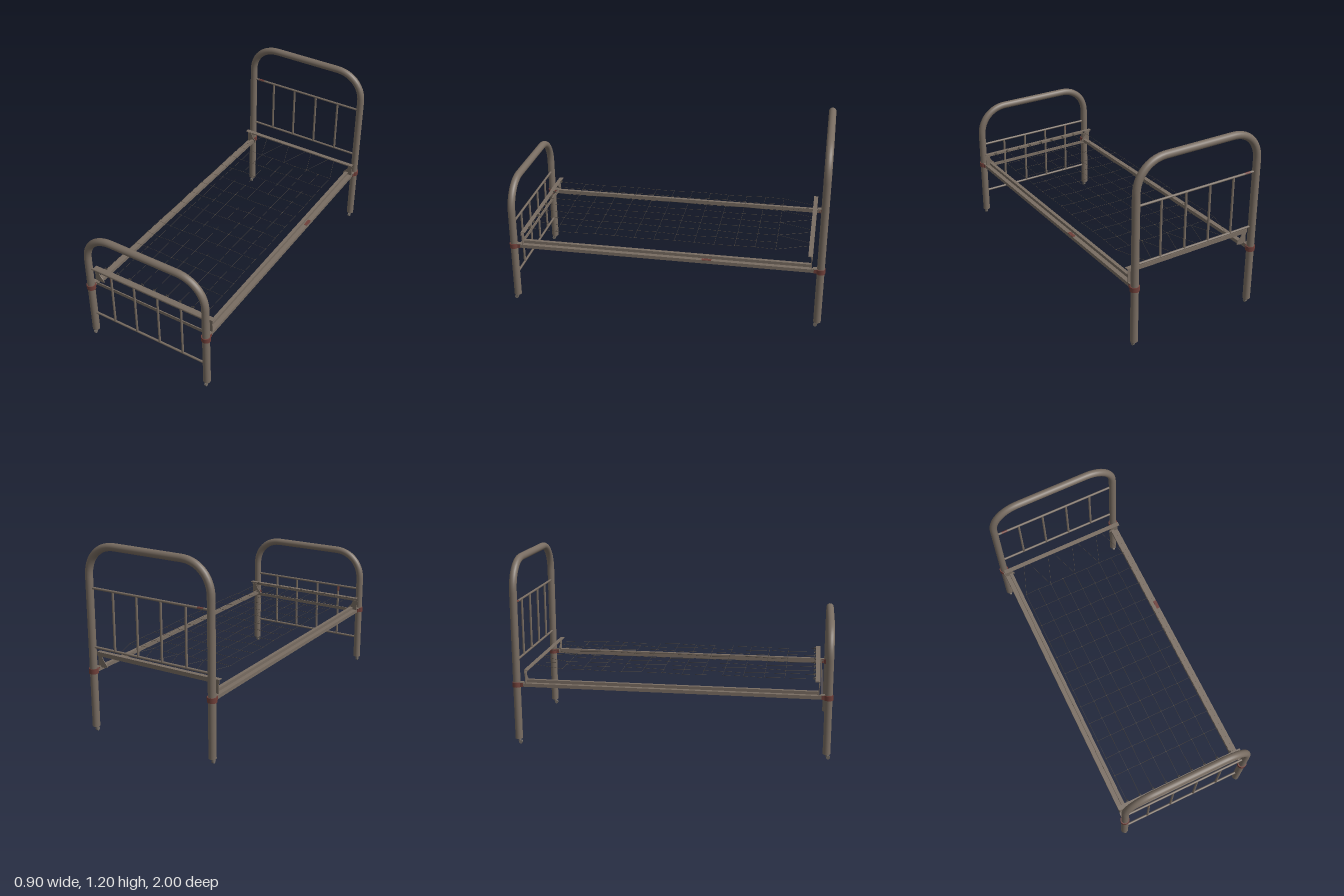
import * as THREE from 'three';
import { mergeGeometries } from 'three/addons/utils/BufferGeometryUtils.js';

const paint = new THREE.MeshStandardMaterial({ color: 0x796d62, side: THREE.DoubleSide });
paint.name = 'taupe paint';
const rust = new THREE.MeshStandardMaterial({ color: 0x6f3f39 });
rust.name = 'rust red';
const steel = new THREE.MeshStandardMaterial({ color: 0x726b64 });
steel.name = 'caster steel';
const wire = new THREE.MeshStandardMaterial({ color: 0x4d463f });
wire.name = 'dark wire';

const POST_X = 0.422, POST_R = 0.0235, END_Z = 0.972;
const V = (x, y, z) => new THREE.Vector3(x, y, z);

// Cylinder geometry between two points
function rodGeometry(a, b, r, sides = 10) {
  const d = b.clone().sub(a);
  const g = new THREE.CylinderGeometry(r, r, d.length(), sides);
  g.applyQuaternion(new THREE.Quaternion().setFromUnitVectors(V(0, 1, 0), d.normalize()));
  const m = a.clone().add(b).multiplyScalar(0.5);
  return g.translate(m.x, m.y, m.z);
}

function add(parent, name, geometry, material) {
  const mesh = new THREE.Mesh(geometry, material);
  mesh.name = name;
  parent.add(mesh);
  return mesh;
}

function box(parent, name, w, h, d, x, y, z, material = paint) {
  return add(parent, name, new THREE.BoxGeometry(w, h, d).translate(x, y, z), material);
}

// Bent tube with two legs and rounded upper corners
function archGeometry(top, corner, z) {
  const y = top - POST_R, k = corner * 0.42, x = POST_X, i = x - corner;
  const path = new THREE.CurvePath();
  path.add(new THREE.LineCurve3(V(-x, 0.037, z), V(-x, y - corner, z)));
  path.add(new THREE.CubicBezierCurve3(V(-x, y - corner, z), V(-x, y - k, z), V(-x + k, y, z), V(-i, y, z)));
  path.add(new THREE.LineCurve3(V(-i, y, z), V(i, y, z)));
  path.add(new THREE.CubicBezierCurve3(V(i, y, z), V(x - k, y, z), V(x, y - k, z), V(x, y - corner, z)));
  path.add(new THREE.LineCurve3(V(x, y - corner, z), V(x, 0.037, z)));
  return new THREE.TubeGeometry(path, 110, POST_R, 18, false);
}

// Head or foot frame: arch, two rails, four spindles, casters and clamps
function endFrame(name, top, corner, z, lowRail, highRail) {
  const g = new THREE.Group();
  g.name = name;
  const inward = -Math.sign(z);
  add(g, 'archTube', archGeometry(top, corner, z), paint);
  for (const y of [lowRail, highRail])
    add(g, 'crossRail', rodGeometry(V(-POST_X, y, z), V(POST_X, y, z), 0.0075), paint);
  for (const x of [-0.255, -0.086, 0.083, 0.252])
    add(g, 'spindle', rodGeometry(V(x, lowRail, z), V(x, highRail, z), 0.0075), paint);
  for (const s of [-1, 1]) {
    const x = s * POST_X;
    add(g, 'postCap', new THREE.CylinderGeometry(POST_R, POST_R, 0.004, 18).translate(x, 0.037, z), paint);
    add(g, 'casterStem', rodGeometry(V(x, 0.018, z + 0.004), V(x, 0.037, z), 0.009), steel);
    add(g, 'casterWheel', new THREE.CylinderGeometry(0.012, 0.012, 0.014, 14)
      .rotateZ(Math.PI / 2).translate(x, 0.012, z + 0.01), steel);
    add(g, 'postClamp', new THREE.CylinderGeometry(0.028, 0.028, 0.031, 18)
      .scale(1.07, 1, 1).translate(x, 0.395, z), rust);
    box(g, 'clampLug', 0.026, 0.026, 0.022, x, 0.394, z + inward * 0.031, rust);
    box(g, 'clampLugCover', 0.028, 0.004, 0.03, x, 0.409, z + inward * 0.034);
  }
  return g;
}

// Curved gusset carrying the end of an angle iron
function gussetGeometry() {
  const s = new THREE.Shape();
  s.moveTo(0.365, 0.403);
  s.bezierCurveTo(0.365, 0.435, 0.398, 0.43, 0.4, 0.475);
  s.lineTo(0.43, 0.475);
  s.lineTo(0.43, 0.403);
  s.closePath();
  return new THREE.ExtrudeGeometry(s, { depth: 0.005, bevelEnabled: false, curveSegments: 8 });
}

// Wire net with end springs
function wireNet() {
  const g = new THREE.Group();
  g.name = 'wireNet';
  const R = 0.001, Y = 0.49, pitchX = 0.0915, pitchZ = 0.1268, z0 = -0.69;
  const sag = (i, j) => 0.003 * Math.sin(i * 2.3 + j * 1.7);
  const node = (i, j) => V((i - 4) * pitchX, Y + sag(i, j), z0 + j * pitchZ);
  const rods = [], hooks = [];
  const link = (a, b) => rods.push(rodGeometry(a, b, R, 4));
  for (let i = 0; i < 9; i++) {
    for (let j = 0; j < 12; j++) {
      if (i < 8) link(node(i, j), node(i + 1, j));
      if (j < 11) link(node(i, j), node(i, j + 1));
      hooks.push(new THREE.TorusGeometry(0.003, 0.001, 4, 8).rotateX(Math.PI / 2)
        .translate(...node(i, j).toArray()));
    }
    // Straight springs at the foot, hooked over the iron
    const end = V((i - 4) * pitchX, 0.494, 0.9);
    link(node(i, 11), end);
    for (const dx of [-0.006, 0, 0.006])
      hooks.push(new THREE.TorusGeometry(0.006, 0.0014, 5, 10).rotateY(Math.PI / 2)
        .translate(end.x + dx, 0.495, 0.884));
    // Zigzag springs at the head
    if (i % 2 === 0) {
      if (i < 8) link(node(i, 0), V((i - 3.2) * pitchX, 0.493, -0.895));
      if (i > 0) link(node(i, 0), V((i - 4.8) * pitchX, 0.493, -0.895));
    }
  }
  add(g, 'netWires', mergeGeometries(rods), wire);
  add(g, 'netHooks', mergeGeometries(hooks), wire);
  return g;
}

export function createModel() {
  const bed = new THREE.Group();
  bed.name = 'bed';
  const head = endFrame('headFrame', 1.2, 0.19, -END_Z, 0.547, 0.912);
  const foot = endFrame('footFrame', 0.835, 0.19, END_Z, 0.181, 0.547);
  bed.add(head, foot);
  box(foot, 'lowerCrossBar', 0.84, 0.021, 0.006, 0, 0.394, 0.932);

  // Worn patches: half sleeves on top of the head rail and on one foot spindle
  add(head, 'rustPatch', new THREE.CylinderGeometry(0.0081, 0.0081, 0.04, 8, 1, true, 0, Math.PI)
    .rotateZ(Math.PI / 2).translate(-0.355, 0.912, -END_Z), rust);
  add(foot, 'rustPatch', new THREE.CylinderGeometry(0.0081, 0.0081, 0.038, 8, 1, true, Math.PI, Math.PI)
    .translate(-0.255, 0.524, END_Z), rust);

  // Side rails with the spring frame beside them
  for (const s of [-1, 1]) {
    box(bed, 'sideRail', 0.022, 0.022, 1.89, s * 0.42, 0.393, 0);
    box(bed, 'sideRailFlange', 0.03, 0.004, 1.83, s * 0.402, 0.401, 0);
    box(bed, 'springFrameRail', 0.022, 0.022, 1.83, s * 0.391, 0.411, 0);
  }
  box(bed, 'rustPatch', 0.022, 0.002, 0.06, 0.42, 0.405, -0.27, rust);

  // Angle irons and gussets at both ends
  for (const e of [-1, 1]) {
    box(bed, 'angleIronWall', 0.87, 0.026, 0.004, 0, 0.482, e * 0.917);
    box(bed, 'angleIronTop', 0.87, 0.004, 0.028, 0, 0.493, e * 0.905);
    for (const s of [-1, 1]) {
      const gusset = add(bed, 'gusset', gussetGeometry(), paint);
      gusset.scale.x = s;
      gusset.position.z = e * 0.914 - 0.0025;
    }
  }

  bed.add(wireNet());
  return bed;
}
